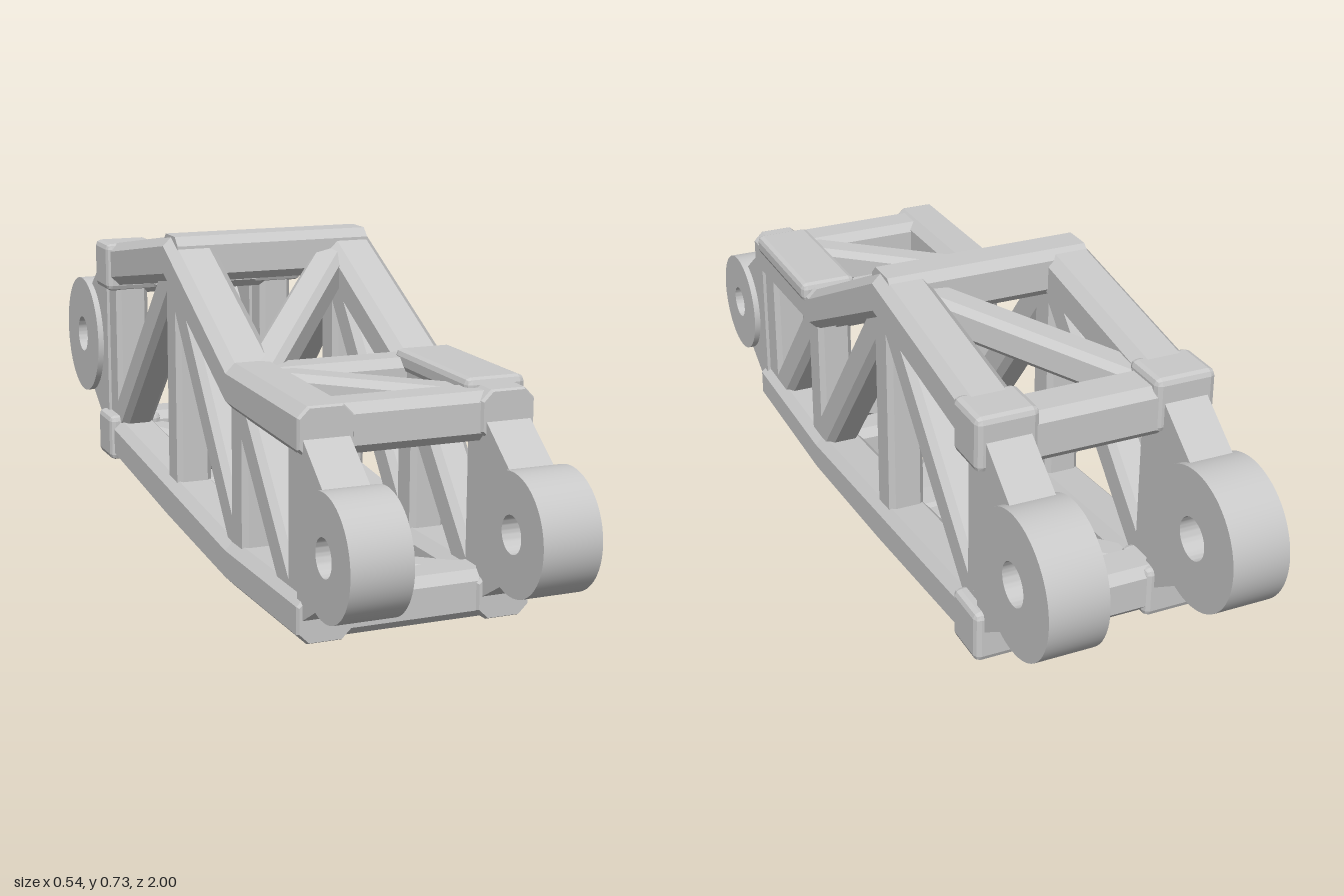
import * as THREE from 'three';
import { toCreasedNormals } from 'three/addons/utils/BufferGeometryUtils.js';
import { RoundedBoxGeometry } from 'three/addons/geometries/RoundedBoxGeometry.js';

const steel = new THREE.MeshStandardMaterial({ color: 0xc9c9c9 });
steel.name = 'light grey steel';

// Octagonal section: a rectangle with chamfered corners
function section(w, h, c) {
  const x = w / 2, y = h / 2;
  return [[x, -y + c], [x, y - c], [x - c, y], [-x + c, y], [-x, y - c], [-x, -y + c], [-x + c, -y], [x - c, -y]];
}

export function createModel() {
  const group = new THREE.Group();

  function add(name, geometry) {
    const mesh = new THREE.Mesh(geometry, steel);
    mesh.name = name;
    group.add(mesh);
    return mesh;
  }

  // Straight chamfered bar between two points
  function bar(name, from, to, w, h, c) {
    const a = new THREE.Vector3(...from), b = new THREE.Vector3(...to);
    const shape = new THREE.Shape(section(w, h, c).map(p => new THREE.Vector2(...p)));
    const geometry = new THREE.ExtrudeGeometry(shape, { depth: a.distanceTo(b), bevelEnabled: false });
    const mesh = add(name, geometry);
    mesh.position.copy(a);
    mesh.lookAt(b);
  }

  // Block with every edge chamfered
  function block(name, size, position) {
    const geometry = new RoundedBoxGeometry(...size, 1, 0.014);
    geometry.computeVertexNormals();
    add(name, geometry).position.set(...position);
  }

  // Bent rail through stations [z, bottom, top, end scale], front to back
  function rail(name, x, stations) {
    const rings = stations.map(([z, y0, y1, s = 1]) =>
      section(0.12 * s, (y1 - y0) * s, 0.022 * s).map(p => [x + p[0], (y0 + y1) / 2 + p[1], z]));
    const out = [], last = rings[rings.length - 1];
    for (let r = 0; r + 1 < rings.length; r++) {
      const a = rings[r], b = rings[r + 1];
      for (let i = 0; i < 8; i++) {
        const j = (i + 1) % 8;
        out.push(a[i], b[i], b[j], a[i], b[j], a[j]);
      }
    }
    for (let i = 1; i < 7; i++) {
      out.push(rings[0][0], rings[0][i], rings[0][i + 1]);
      out.push(last[0], last[i + 1], last[i]);
    }
    const geometry = new THREE.BufferGeometry();
    geometry.setAttribute('position', new THREE.Float32BufferAttribute(out.flat(), 3));
    geometry.computeVertexNormals();
    add(name, geometry);
  }

  // Side profile in (z, y) extruded across x and centred on it
  function sidePlate(name, shape, x, width) {
    const geometry = new THREE.ExtrudeGeometry(shape, { depth: width, bevelEnabled: false, curveSegments: 32 });
    geometry.translate(0, 0, -width / 2).rotateY(-Math.PI / 2);
    add(name, toCreasedNormals(geometry, 0.5)).position.x = x;
  }

  // Pivot ring with its tapered bracket
  function pivot(name, x, z, y, radius, hole, bracket) {
    const ring = new THREE.Shape().absarc(z, y, radius, 0, Math.PI * 2, false);
    ring.holes.push(new THREE.Path().absarc(z, y, hole, 0, Math.PI * 2, true));
    sidePlate(name + 'PivotRing', ring, x, 0.13);
    sidePlate(name + 'PivotBracket', new THREE.Shape(bracket.map(p => new THREE.Vector2(...p))), x, 0.1);
  }

  for (const side of [1, -1]) {
    const x = 0.2 * side, label = side > 0 ? 'left' : 'right';

    // Long rails
    rail(label + 'LowerRail', x, [[0.73, 0.013, 0.115, 0.94], [0.722, 0.012, 0.115], [0.3, 0, 0.105],
      [-0.12, 0.028, 0.14], [-0.67, 0.078, 0.185]]);
    rail(label + 'UpperRail', x, [[0.73, 0.392, 0.5, 0.94], [0.722, 0.392, 0.5], [0.31, 0.4, 0.505],
      [-0.12, 0.614, 0.723], [-0.67, 0.522, 0.632]]);

    // Upright posts
    for (const [z, y0, y1] of [[0.667, 0.06, 0.45], [0.33, 0.05, 0.45], [-0.12, 0.08, 0.67], [-0.62, 0.13, 0.58]])
      bar(label + 'Post', [x, y0, z], [x, y1, z], 0.085, 0.085, 0.012);

    // Side diagonals
    for (const [z0, y0, z1, y1] of [[0.65, 0.06, 0.33, 0.43], [0.31, 0.1, -0.12, 0.635], [-0.14, 0.64, -0.62, 0.155]])
      bar(label + 'SideBrace', [x, y0, z0], [x, y1, z1], 0.085, 0.088, 0.015);

    // Sleeves at the rear corners
    block(label + 'UpperSleeve', [0.14, 0.122, 0.12], [x, 0.584, -0.628]);
    block(label + 'LowerSleeve', [0.14, 0.118, 0.12], [x, 0.13, -0.628]);

    // Pivots at both ends
    pivot(label + 'Front', x, 0.872, 0.241, 0.128, 0.04,
      [[0.7, 0.065], [0.73, 0.065], [0.83, 0.125], [0.83, 0.36], [0.73, 0.435], [0.7, 0.435]]);
    pivot(label + 'Rear', x, -0.845, 0.363, 0.155, 0.047,
      [[-0.65, 0.13], [-0.68, 0.14], [-0.797, 0.218], [-0.797, 0.508], [-0.68, 0.597], [-0.65, 0.597]]);
  }

  // Cross members: z, centre height, half length, thickness
  for (const [z, y, half, size] of [
    [0.67, 0.443, 0.2, 0.104], [0.325, 0.448, 0.2, 0.1], [-0.125, 0.671, 0.24, 0.108], [-0.628, 0.569, 0.2, 0.114],
    [0.67, 0.065, 0.2, 0.104], [0.325, 0.055, 0.2, 0.1], [-0.125, 0.084, 0.2, 0.108], [-0.628, 0.135, 0.2, 0.112]])
    bar('crossMember', [-half, y, z], [half, y, z], size, size, 0.02);

  // Zigzag braces between the rails, top and bottom
  const zigzag = [[0.18, 0.66], [-0.19, 0.33], [0.18, -0.12], [-0.19, -0.62]];
  const levels = { upper: [0.45, 0.455, 0.66, 0.575], lower: [0.065, 0.055, 0.085, 0.13] };
  for (const [level, ys] of Object.entries(levels))
    for (let i = 0; i < 3; i++) {
      const [x0, z0] = zigzag[i], [x1, z1] = zigzag[i + 1];
      bar(level + 'Brace', [x0, ys[i], z0], [x1, ys[i + 1], z1], 0.08, 0.08, 0.015);
    }

  // Pad on the left upper rail
  block('railPad', [0.136, 0.048, 0.352], [0.2, 0.49, 0.5]);

  return group;
}
